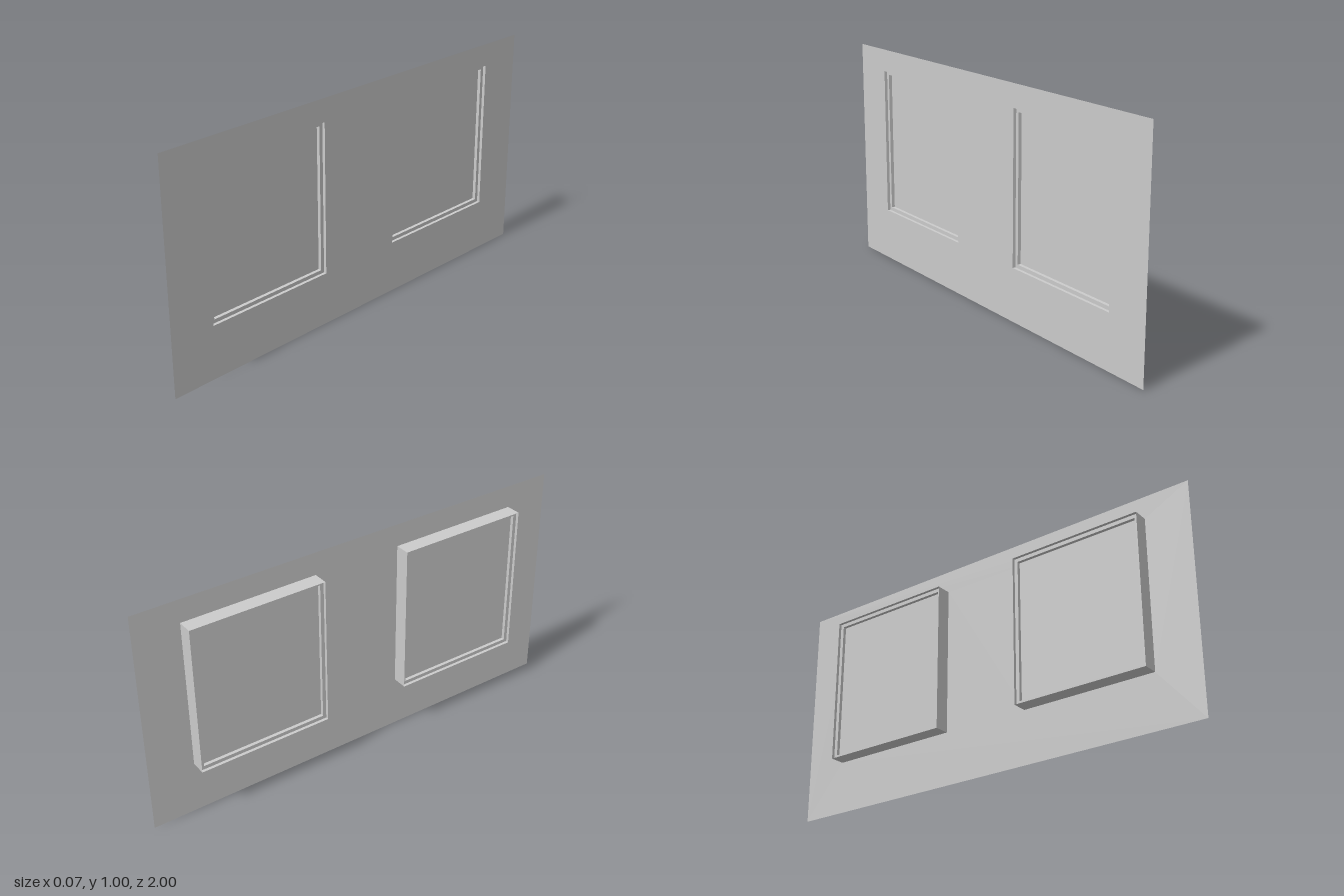
import * as THREE from 'three';

const DEPTH = 0.067;                       // casing depth
const WIN = { w: 0.6, h: 0.665, y: 0.5675, z: 0.5 };
const RIM = 0.016;                         // sash width

const grey = new THREE.MeshStandardMaterial({ color: 0xcccccc, flatShading: true, side: THREE.DoubleSide });

// Rectangle centred on (cx, cy), as a Shape or a hole Path
function rect(Type, w, h, cx = 0, cy = 0) {
  return new Type([[-1, -1], [1, -1], [1, 1], [-1, 1]].map(
    ([sx, sy]) => new THREE.Vector2(cx + sx * w / 2, cy + sy * h / 2)));
}

function mesh(name, geometry) {
  const m = new THREE.Mesh(geometry, grey);
  m.name = name;
  return m;
}

function createWindow(name) {
  const group = new THREE.Group();
  group.name = name;

  // Open rectangular sleeve running through the wall
  const casing = new THREE.CylinderGeometry(Math.SQRT1_2, Math.SQRT1_2, 1, 4, 1, true, Math.PI / 4);
  casing.rotateZ(Math.PI / 2).scale(DEPTH, WIN.h, WIN.w);
  group.add(mesh('casing', casing));

  // Narrow sash set back from both ends of the casing
  const outline = rect(THREE.Shape, WIN.w, WIN.h);
  outline.holes.push(rect(THREE.Path, WIN.w - 2 * RIM, WIN.h - 2 * RIM));
  const sash = new THREE.ExtrudeGeometry(outline, { depth: 0.04, bevelEnabled: false });
  sash.translate(0, 0, -0.02).rotateY(Math.PI / 2);
  group.add(mesh('sash', sash));

  // Thin pane in the middle of the sash
  group.add(mesh('pane', new THREE.BoxGeometry(0.01, WIN.h - 2 * RIM, WIN.w - 2 * RIM)));
  return group;
}

export function createModel() {
  const model = new THREE.Group();
  model.name = 'windowWall';

  // Flat wall sheet with two openings, flush with one end of the casings
  const wall = rect(THREE.Shape, 2, 1, 0, 0.5);
  for (const s of [-1, 1]) {
    wall.holes.push(rect(THREE.Path, WIN.w, WIN.h, s * WIN.z, WIN.y));
    const win = createWindow(s > 0 ? 'frontWindow' : 'backWindow');
    win.position.set(0, WIN.y, s * WIN.z);
    model.add(win);
  }
  const sheet = new THREE.ShapeGeometry(wall);
  sheet.rotateY(Math.PI / 2).translate(DEPTH / 2, 0, 0);
  model.add(mesh('wall', sheet));
  return model;
}
